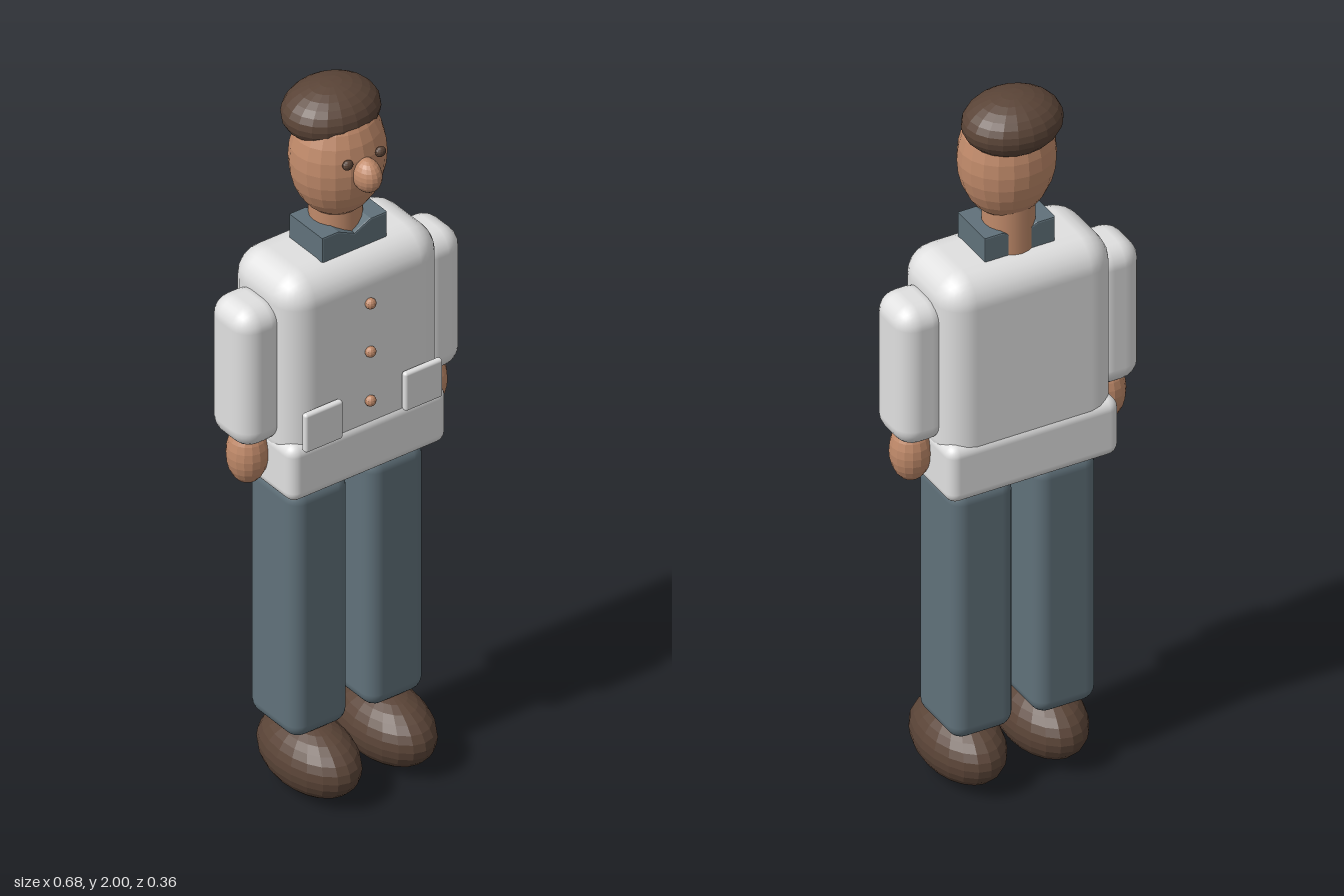
import * as THREE from 'three';
import { RoundedBoxGeometry } from 'three/addons/geometries/RoundedBoxGeometry.js';

const material = (name, color) => Object.assign(new THREE.MeshStandardMaterial({ color }), { name });

export function createModel() {
  const model = new THREE.Group();
  model.name = 'standingMan';
  const white = material('jacketWhite', 0xe0e0e0);
  const skin = material('skin', 0xc08a6a);
  const blue = material('slateBlue', 0x60717a);
  const brown = material('darkBrown', 0x5a4437);

  function add(name, geometry, mat, x, y, z) {
    const mesh = new THREE.Mesh(geometry, mat);
    mesh.name = name;
    mesh.position.set(x, y, z);
    model.add(mesh);
    return mesh;
  }
  // Faceted ellipsoid given by its three radii
  function ellipsoid(name, mat, [x, y, z], [rx, ry, rz], w = 20, h = 14) {
    const g = new THREE.SphereGeometry(1, w, h).scale(rx, ry, rz).toNonIndexed();
    g.computeVertexNormals();
    return add(name, g, mat, x, y, z);
  }
  // Soft-edged box given by its lower and upper corners
  function softBox(name, mat, a, b, radius, segments = 3) {
    const size = b.map((v, i) => v - a[i]);
    const mid = b.map((v, i) => (v + a[i]) / 2);
    return add(name, new RoundedBoxGeometry(...size, segments, radius), mat, ...mid);
  }

  // Jacket body and hem
  softBox('jacketBody', white, [-0.24, 1.0, -0.175], [0.24, 1.557, 0.095], 0.08);
  softBox('jacketHem', white, [-0.24, 0.922, -0.18], [0.24, 1.087, 0.1], 0.03);
  for (const y of [1.43, 1.287, 1.142]) {
    ellipsoid('button', skin, [0, y, 0.102], [0.015, 0.015, 0.013], 12, 8);
  }

  // Limbs and pockets, mirrored
  for (const [side, s] of [['left', 1], ['right', -1]]) {
    const pair = (name, mat, x0, x1, y0, y1, z0, z1, r, n) =>
      softBox(side + name, mat, [Math.min(s * x0, s * x1), y0, z0], [Math.max(s * x0, s * x1), y1, z1], r, n);
    pair('Sleeve', white, 0.2, 0.34, 1.075, 1.48, -0.121, 0.04, 0.055);
    pair('TrouserLeg', blue, 0.028, 0.204, 0.183, 0.92, -0.137, 0.063, 0.04);
    pair('Pocket', white, 0.094, 0.21, 1.077, 1.19, 0.099, 0.118, 0.008, 2);
    ellipsoid(side + 'Hand', skin, [s * 0.272, 1.025, -0.038], [0.054, 0.085, 0.054], 16, 12);
    ellipsoid(side + 'Shoe', brown, [s * 0.115, 0.097, 0.005], [0.102, 0.097, 0.17]);
    ellipsoid(side + 'Eye', brown, [s * 0.05, 1.845, 0.075], [0.015, 0.014, 0.011], 12, 8);
  }

  // Collar with a V notch
  const v = new THREE.Shape();
  [[-0.095, 1.545], [0.095, 1.545], [0.095, 1.622], [0.05, 1.622], [0, 1.598], [-0.05, 1.622], [-0.095, 1.622]]
    .forEach(([x, y], i) => (i ? v.lineTo(x, y) : v.moveTo(x, y)));
  const collar = new THREE.ExtrudeGeometry(v, {
    depth: 0.129, bevelThickness: 0.004, bevelSize: 0.004, bevelSegments: 2,
  });
  add('collar', collar, blue, 0, 0, -0.097);

  // Head and neck
  add('neck', new THREE.CylinderGeometry(0.067, 0.067, 0.16, 20), skin, 0, 1.61, -0.043);
  ellipsoid('head', skin, [0, 1.805, -0.034], [0.127, 0.17, 0.114]);
  ellipsoid('nose', skin, [0, 1.803, 0.086], [0.035, 0.046, 0.045], 16, 12);
  ellipsoid('hair', brown, [0, 1.922, -0.062], [0.131, 0.078, 0.111], 20, 14);

  return model;
}
